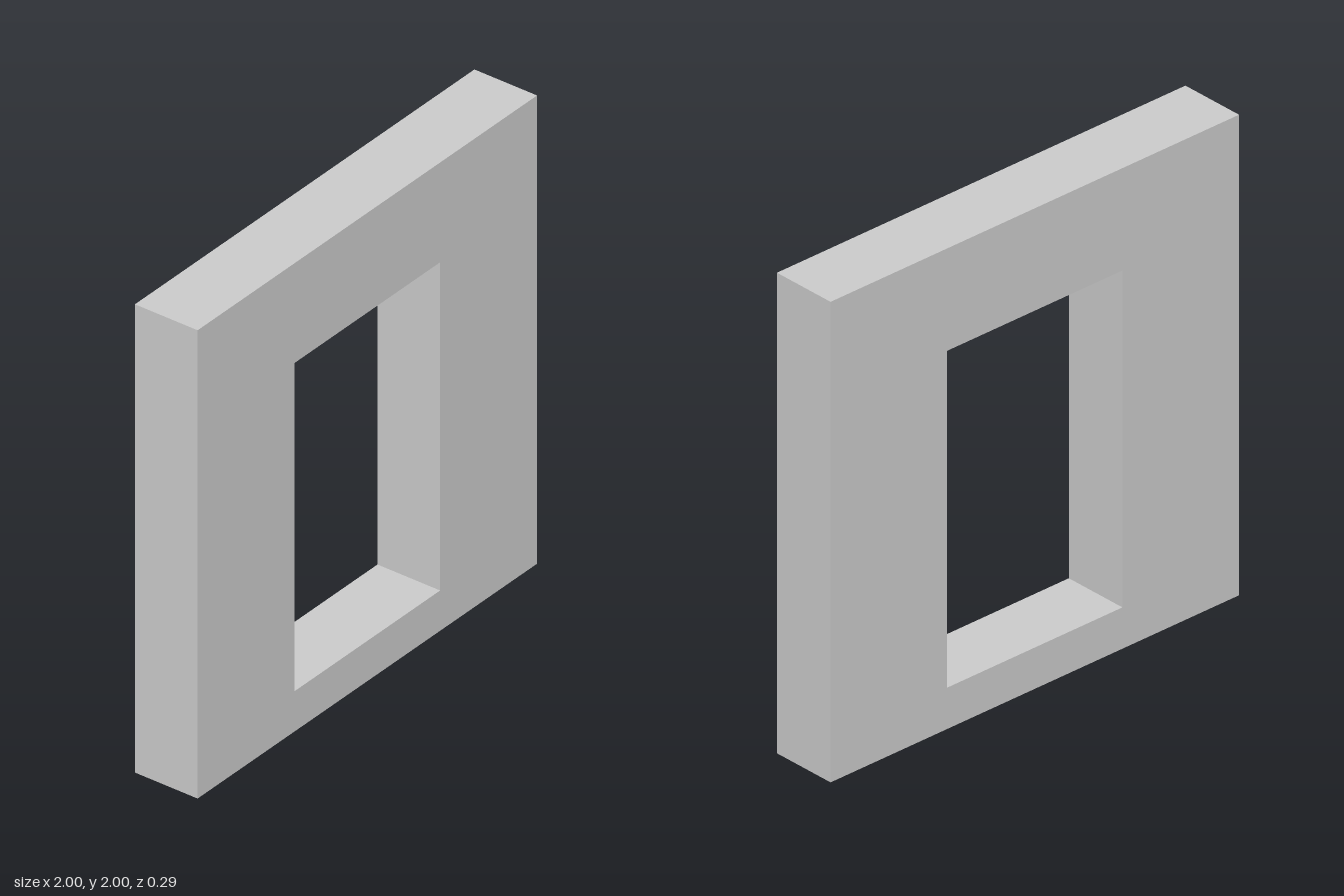
import * as THREE from 'three';

const DEPTH = 0.286;

// Counter-clockwise rectangle outline
function rectangle(path, left, bottom, right, top) {
  path.moveTo(left, bottom);
  path.lineTo(right, bottom);
  path.lineTo(right, top);
  path.lineTo(left, top);
  path.closePath();
  return path;
}

export function createModel() {
  const model = new THREE.Group();
  model.name = 'windowWall';

  // Square wall slab with a tall rectangular opening
  const outline = rectangle(new THREE.Shape(), -1, 0, 1, 2);
  outline.holes.push(rectangle(new THREE.Path(), -0.429, 0.172, 0.429, 1.574));

  const geometry = new THREE.ExtrudeGeometry(outline, { depth: DEPTH, bevelEnabled: false });
  geometry.translate(0, 0, -DEPTH / 2);

  const wall = new THREE.Mesh(
    geometry,
    new THREE.MeshStandardMaterial({ color: 0xcccccc, flatShading: true })
  );
  wall.name = 'wall';
  model.add(wall);

  return model;
}
